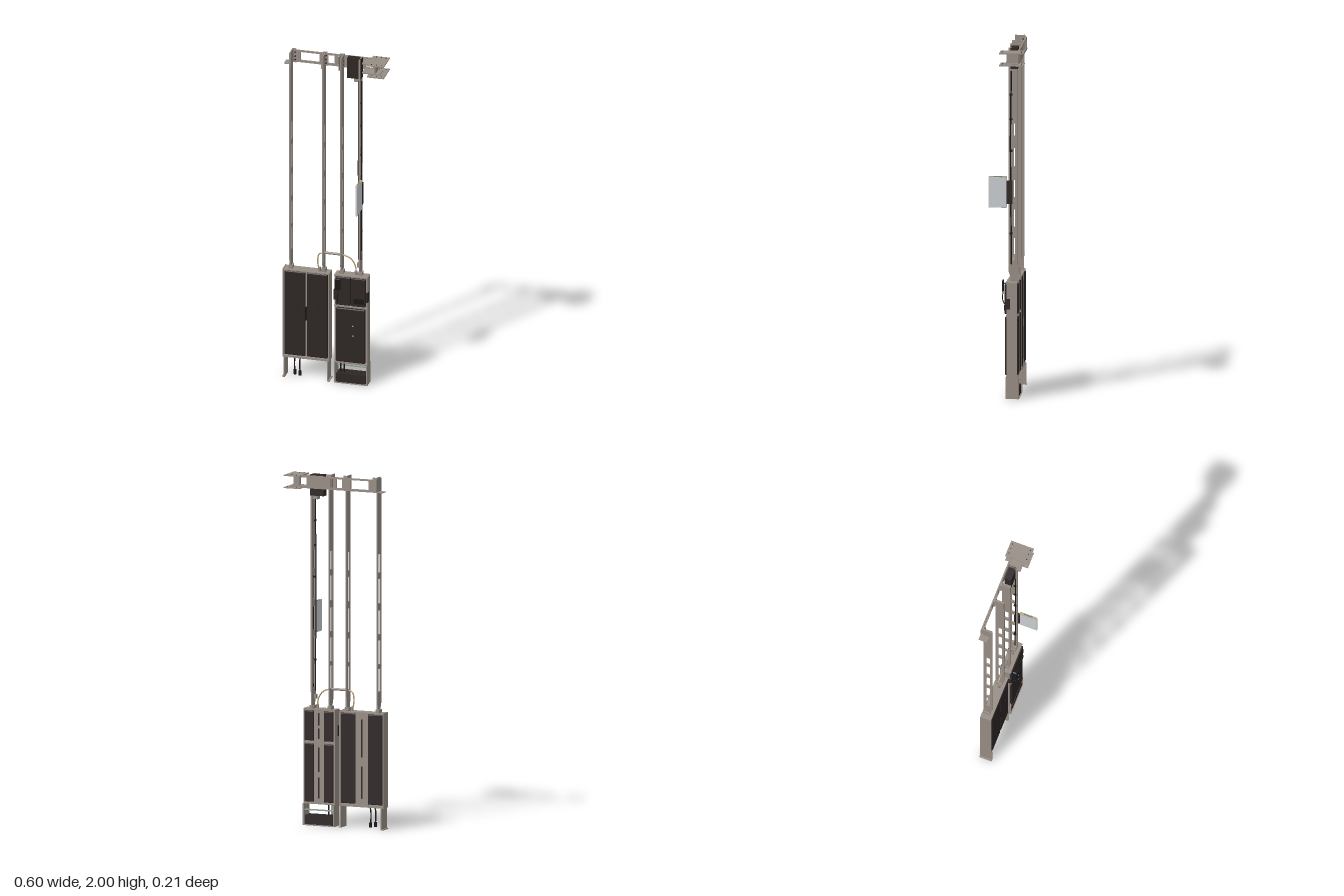
import * as THREE from 'three';
import { RoundedBoxGeometry } from 'three/addons/geometries/RoundedBoxGeometry.js';

const mat = (name, color) => Object.assign(new THREE.MeshStandardMaterial({ color }), { name });

export function createModel() {
  const steel = mat('warm grey steel', 0x978d85);
  const dark = mat('dark brown casing', 0x2d2625);
  const black = mat('black rubber', 0x191716);
  const pale = mat('pale display', 0xcbd0d2);
  const beige = mat('beige hose', 0xb9a67c);
  const blue = mat('blue fitting', 0x3d6f9e);
  const green = mat('grey green glass', 0x8fa394);

  const root = new THREE.Group();
  root.name = 'columnAssembly';
  const group = (name) => {
    const g = new THREE.Group();
    g.name = name;
    root.add(g);
    return g;
  };
  const add = (parent, name, geo, m) => {
    const mesh = new THREE.Mesh(geo, m);
    mesh.name = name;
    parent.add(mesh);
    return mesh;
  };
  // Box given by its limits on each axis; r rounds the edges
  const box = (parent, name, m, [x0, x1], [y0, y1], [z0, z1], r = 0) => {
    const s = [x1 - x0, y1 - y0, z1 - z0];
    const geo = r ? new RoundedBoxGeometry(...s, 2, r) : new THREE.BoxGeometry(...s);
    add(parent, name, geo, m).position.set((x0 + x1) / 2, (y0 + y1) / 2, (z0 + z1) / 2);
  };
  const tube = (parent, name, m, pts, r) => {
    const curve = new THREE.CatmullRomCurve3(pts.map((p) => new THREE.Vector3(...p)));
    add(parent, name, new THREE.TubeGeometry(curve, 32, r, 8), m);
  };
  const cyl = (parent, name, m, r, h, x, y, z) => {
    const c = add(parent, name, new THREE.CylinderGeometry(r, r, h, 12), m);
    c.position.set(x, y, z);
    return c;
  };
  // Flat plate with rectangular windows [x0, x1, y0, y1]
  const plate = (outline, windows, depth) => {
    const shape = new THREE.Shape(outline.map((p) => new THREE.Vector2(...p)));
    for (const [a, b, c, d] of windows) {
      shape.holes.push(new THREE.Path([[a, c], [a, d], [b, d], [b, c]].map((p) => new THREE.Vector2(...p))));
    }
    return new THREE.ExtrudeGeometry(shape, { depth, bevelEnabled: false });
  };

  // Four slotted posts, drawn in the depth/height plane
  const slots = [[0.78, 0.91], [0.935, 1.07], [1.105, 1.24], [1.28, 1.42], [1.455, 1.56]];
  const postGeo = plate(
    [[0.018, 0.6], [0.056, 0.6], [0.06, 0.77], [0.06, 1.99], [0.008, 1.99], [0.008, 0.72], [0.018, 0.69]],
    slots.map(([a, b]) => [0.02, 0.045, a, b]), 0.008);
  postGeo.rotateY(Math.PI / 2);
  const posts = group('posts');
  for (const x of [-0.255, -0.065, 0.04, 0.148]) {
    add(posts, 'post', postGeo, steel).position.x = x - 0.004;
    box(posts, 'postFoot', steel, [x - 0.012, x + 0.012], [0.655, 0.68], [-0.056, -0.018]);
  }

  // Top beam with windows and post brackets
  const beam = group('topBeam');
  add(beam, 'beamPlate', plate([[-0.26, 1.912], [0.25, 1.912], [0.25, 1.985], [-0.26, 1.985]],
    [[-0.21, -0.1, 1.925, 1.975], [-0.048, -0.012, 1.925, 1.975], [0.008, 0.026, 1.925, 1.975], [0.17, 0.215, 1.925, 1.972]],
    0.008), steel).position.z = -0.075;
  for (const x of [-0.245, -0.065, 0.035]) {
    box(beam, 'postBracket', steel, [x - 0.013, x + 0.013], [1.912, 1.995], [-0.067, -0.059]);
    box(beam, 'bracketWeb', steel, [x - 0.009, x - 0.004], [1.912, 1.995], [-0.067, -0.008]);
    for (const y of [1.93, 1.952, 1.975]) {
      cyl(beam, 'bolt', dark, 0.004, 0.008, x + 0.007, y, -0.056).rotation.x = Math.PI / 2;
    }
  }
  box(beam, 'beamShelf', steel, [-0.295, -0.26], [1.912, 1.916], [-0.075, -0.025]);

  // Twin clamping plates at the end of the beam
  const mount = group('endMount');
  for (const [y, out] of [[1.915, -1], [1.972, 1]]) {
    box(mount, 'mountArm', steel, [0.165, 0.27], [y, y + 0.006], [-0.07, 0]);
    const c = y + 0.003 + out * 0.006;
    box(mount, 'mountPlate', steel, [0.202, 0.299], [c - 0.003, c + 0.003], [-0.105, 0.031]);
    for (const x of [0.225, 0.255, 0.282]) {
      for (const z of [-0.09, 0.016]) cyl(mount, 'mountBolt', dark, 0.003, 0.01, x, c, z);
    }
  }
  box(mount, 'mountSpacer', steel, [0.235, 0.243], [1.915, 1.978], [-0.068, -0.005]);

  // Drive unit under the beam
  const drive = group('driveUnit');
  box(drive, 'driveCase', dark, [0.072, 0.155], [1.87, 1.99], [-0.06, -0.02]);
  box(drive, 'driveBracket', steel, [0.112, 0.15], [1.85, 1.87], [-0.055, -0.022]);
  tube(drive, 'driveCable', black, [[0.157, 1.86, -0.025], [0.158, 1.5, -0.02], [0.156, 1.1, -0.022], [0.153, 0.76, -0.025]], 0.004);
  tube(drive, 'thinCable', black, [[0.14, 1.86, -0.02], [0.139, 1.3, -0.018], [0.14, 0.76, -0.022]], 0.003);
  for (const y of [0.93, 1.4, 1.58, 1.72]) box(drive, 'cableClip', black, [0.137, 0.16], [y, y + 0.01], [-0.03, -0.015]);
  box(drive, 'cablePlug', steel, [0.132, 0.152], [0.715, 0.74], [-0.035, -0.012]);

  // Display panel standing forward from the last post
  const display = group('display');
  box(display, 'displayBody', pale, [0.154, 0.166], [1.082, 1.258], [0.001, 0.104], 0.003);
  box(display, 'displayEdgeTop', beige, [0.153, 0.167], [1.256, 1.26], [0, 0.1]);
  box(display, 'displayStripe', blue, [0.158, 0.162], [1.258, 1.262], [0.025, 0.075]);
  box(display, 'displayBracket', dark, [0.15, 0.166], [1.105, 1.235], [-0.032, 0.001]);

  // Rear cover: two dark panels beside a slotted light strip
  const rear = (g, x0, x1, s0, s1, y0, y1) => {
    box(g, 'rearPanel', dark, [x0, s0], [y0, y1], [-0.066, -0.05], 0.004);
    box(g, 'rearPanel', dark, [s1, x1], [y0, y1], [-0.066, -0.05], 0.004);
    box(g, 'rearStrip', steel, [s0, s1], [y0 - 0.005, y1 + 0.005], [-0.062, -0.045]);
    const c = (s0 + s1) / 2, h = y1 - y0;
    for (const [a, b] of [[0.06, 0.42], [0.52, 0.94]]) {
      box(g, 'stripSlot', dark, [c - 0.005, c + 0.005], [y0 + h * a, y0 + h * b], [-0.0635, -0.06]);
    }
  };

  // Wide cabinet with two front doors
  const wide = group('wideCabinet');
  for (const [a, b] of [[-0.297, -0.29], [-0.032, -0.025]]) {
    box(wide, 'sideRail', steel, [a, b], [0.13, 0.662], [-0.064, 0]);
  }
  box(wide, 'topPlate', steel, [-0.297, -0.025], [0.654, 0.66], [-0.064, 0]);
  box(wide, 'bottomPlate', steel, [-0.297, -0.025], [0.122, 0.134], [-0.064, 0]);
  box(wide, 'core', steel, [-0.29, -0.032], [0.134, 0.654], [-0.05, -0.012]);
  for (const [a, b] of [[-0.284, -0.163], [-0.154, -0.034]]) {
    box(wide, 'frontDoor', dark, [a, b], [0.14, 0.655], [-0.012, 0.005], 0.006);
    cyl(wide, 'doorKnob', black, 0.003, 0.004, a + 0.075, 0.44, 0.006).rotation.x = Math.PI / 2;
  }
  box(wide, 'doorLatch', black, [-0.163, -0.154], [0.36, 0.44], [-0.012, 0.002]);
  rear(wide, -0.288, -0.034, -0.2, -0.125, 0.14, 0.65);
  // Legs with turned-out toes
  for (const [x, d] of [[-0.285, -1], [-0.035, 1]]) {
    box(wide, 'leg', steel, [x - 0.003, x + 0.003], [0, 0.125], [-0.07, 0.004]);
    box(wide, 'toe', steel, [Math.min(x, x + d * 0.012), Math.max(x, x + d * 0.012)], [0, 0.005], [-0.07, 0.004]);
  }
  // Hanging plug leads
  for (const [x, y] of [[-0.232, 0.01], [-0.202, 0.006]]) {
    tube(wide, 'plugLead', black, [[x + 0.003, 0.13, -0.03], [x - 0.002, 0.08, -0.028], [x, y + 0.02, -0.03]], 0.004);
    cyl(wide, 'plug', black, 0.008, 0.028, x, y + 0.014, -0.03);
  }

  // Narrow cabinet with a control box above a door
  const narrow = group('narrowCabinet');
  for (const [a, b] of [[0.004, 0.011], [0.19, 0.197]]) {
    box(narrow, 'sideRail', steel, [a, b], [0.12, 0.66], [-0.06, -0.002]);
    box(narrow, 'leg', steel, [a, b], [0, 0.125], [-0.07, 0.005]);
  }
  for (const y of [0.122, 0.468, 0.654]) {
    box(narrow, 'crossRail', steel, [0.004, 0.197], [y, y + 0.008], [-0.06, 0.002]);
  }
  box(narrow, 'core', steel, [0.011, 0.19], [0.13, 0.654], [-0.05, -0.012]);
  box(narrow, 'frontDoor', dark, [0.016, 0.184], [0.134, 0.464], [-0.012, 0.009], 0.006);
  box(narrow, 'controlBox', dark, [0.014, 0.1], [0.482, 0.653], [-0.012, 0.009], 0.004);
  box(narrow, 'controlBox', dark, [0.104, 0.187], [0.482, 0.653], [-0.012, 0.01], 0.004);
  box(narrow, 'controlCap', black, [0.12, 0.18], [0.5, 0.53], [0, 0.014]);
  for (const y of [0.3, 0.36]) cyl(narrow, 'doorButton', beige, 0.004, 0.004, 0.115, y, 0.01).rotation.x = Math.PI / 2;
  for (const x of [0.007, 0.194]) box(narrow, 'hinge', dark, [x - 0.006, x + 0.006], [0.51, 0.57], [-0.02, 0.005]);
  rear(narrow, 0.013, 0.188, 0.07, 0.132, 0.135, 0.464);
  rear(narrow, 0.013, 0.188, 0.07, 0.132, 0.482, 0.65);
  // Base tray and guard bar between the legs
  box(narrow, 'baseTray', dark, [0.016, 0.185], [0.006, 0.058], [-0.066, 0.002]);
  box(narrow, 'baseSole', steel, [0.004, 0.197], [0, 0.006], [-0.07, 0.005]);
  box(narrow, 'guardBar', green, [0.011, 0.19], [0.085, 0.092], [-0.06, -0.05]);
  for (const x of [0.035, 0.055]) cyl(narrow, 'baseLead', black, 0.004, 0.07, x, 0.09, -0.03);

  // Handset clipped to the front of the control box
  const handset = group('handset');
  box(handset, 'handsetBody', black, [0.016, 0.05], [0.585, 0.65], [0.028, 0.037], 0.003);
  cyl(handset, 'handsetStem', blue, 0.004, 0.026, 0.028, 0.63, 0.018).rotation.x = Math.PI / 2;
  tube(handset, 'handsetCord', black, [[0.035, 0.59, 0.032], [0.033, 0.54, 0.036], [0.03, 0.51, 0.022], [0.03, 0.52, 0.006]], 0.0025);

  // Hose bridging the two cabinets
  const hose = group('hose');
  tube(hose, 'hoseLeft', beige, [[-0.09, 0.66, -0.03], [-0.1, 0.72, -0.03], [-0.09, 0.765, -0.03], [-0.055, 0.776, -0.03]], 0.004);
  tube(hose, 'hoseRight', beige, [[0.035, 0.776, -0.03], [0.08, 0.765, -0.03], [0.11, 0.735, -0.03], [0.122, 0.7, -0.03], [0.122, 0.66, -0.03]], 0.004);
  cyl(hose, 'hoseSleeve', steel, 0.007, 0.095, -0.01, 0.776, -0.03).rotation.z = Math.PI / 2;
  for (const x of [-0.09, 0.122]) cyl(hose, 'hoseFitting', steel, 0.008, 0.025, x, 0.672, -0.03);

  return root;
}
